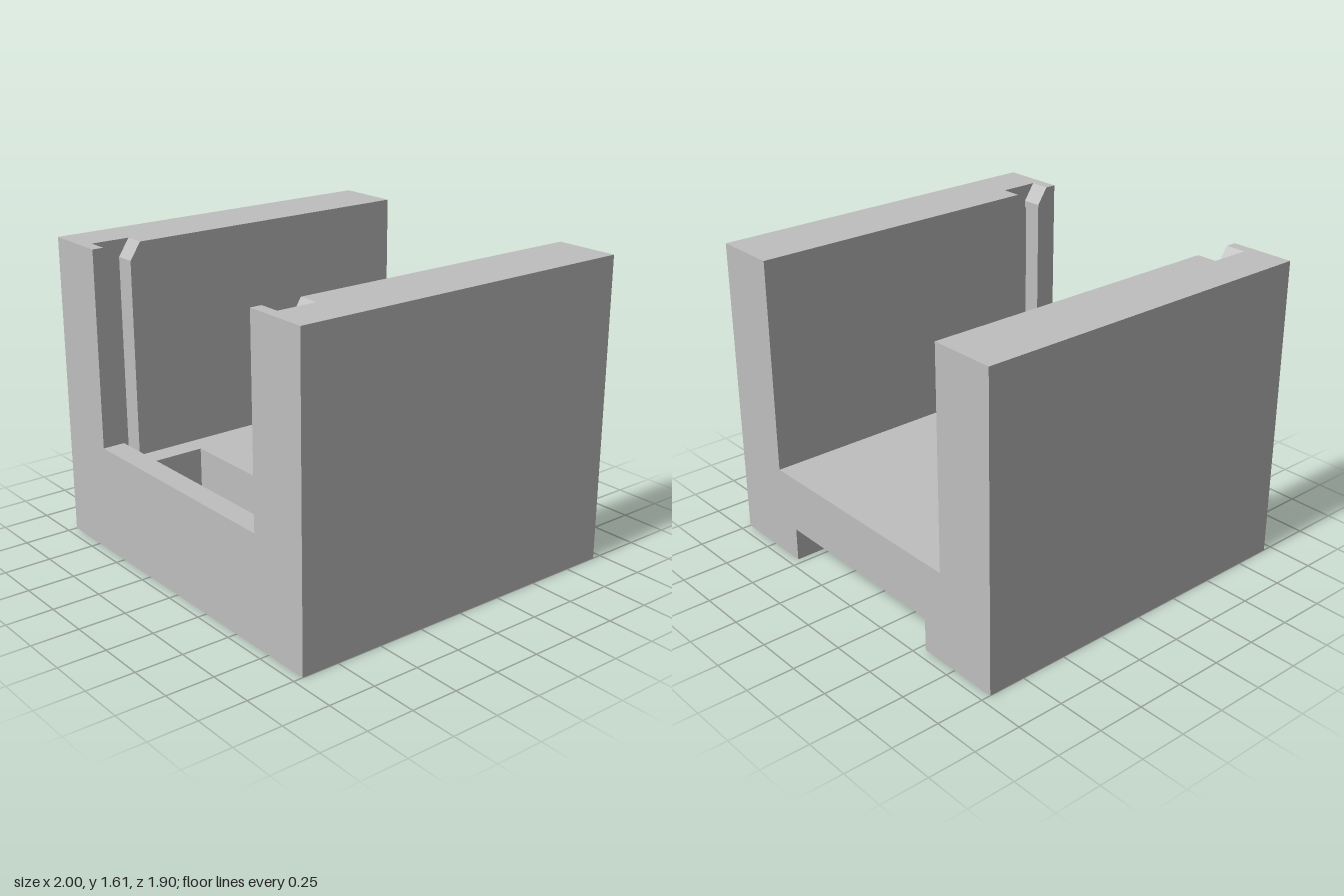
import * as THREE from 'three';
import { mergeGeometries } from 'three/addons/utils/BufferGeometryUtils.js';

// Main dimensions
const H = 1.61, D = 0.95;              // height, half depth
const FLOOR = 0.48, SILL = 0.57;       // floor and front sill heights
const IN = 0.655, SLOT = 0.765;        // inner wall face, slot bottom (x)
const Z0 = 0.74, Z1 = 0.83;            // slot range in z
const FLARE = 0.06, FLARE_H = 0.09;    // widened slot mouth
const CH = 0.535, CH_H = 0.18;         // underside channel half width and height
const WIN = 0.44;                      // rear edge of floor window

// Flat face on the plane axis = at, facing sign; points are (z,y), (x,z) or (x,y)
function panel(axis, at, sign, pts) {
  const shape = new THREE.Shape(pts.map(([u, v]) => new THREE.Vector2(u, v)));
  const g = new THREE.ShapeGeometry(shape).toNonIndexed();
  g.deleteAttribute('uv');
  const p = g.attributes.position;
  const flip = (axis === 'z' ? 1 : -1) !== sign;
  const out = [];
  for (let i = 0; i < p.count; i++) {
    const t = i % 3, j = flip && t ? i + (t === 1 ? 1 : -1) : i;
    const u = p.getX(j), v = p.getY(j);
    out.push(...(axis === 'x' ? [at, v, u] : axis === 'y' ? [u, at, v] : [u, v, at]));
  }
  p.array.set(out);
  g.computeVertexNormals();
  return g;
}

const rect = (a, b, c, d) => [[a, b], [c, b], [c, d], [a, d]];

// Sloped face at the slot mouth, from z = zLow up to z = zTop
function slope(s, zLow, zTop) {
  const a = [s * IN, H - FLARE_H, zLow], b = [s * SLOT, H - FLARE_H, zLow];
  const c = [s * SLOT, H, zTop], d = [s * IN, H, zTop];
  const up = (zLow > zTop) === (s > 0);
  const g = new THREE.BufferGeometry();
  const tris = up ? [a, b, c, a, c, d] : [a, c, b, a, d, c];
  g.setAttribute('position', new THREE.Float32BufferAttribute(tris.flat(), 3));
  g.computeVertexNormals();
  return g;
}

export function createModel() {
  const model = new THREE.Group();
  model.name = 'slottedBlock';
  const grey = new THREE.MeshStandardMaterial({ color: 0xbfbfbf });
  grey.name = 'grey';
  const add = (name, faces) => {
    const mesh = new THREE.Mesh(mergeGeometries(faces), grey);
    mesh.name = name;
    model.add(mesh);
  };
  const mouth = H - FLARE_H;

  for (const s of [1, -1]) {
    const side = s > 0 ? 'left' : 'right';
    const mx = pts => pts.map(([x, v]) => [s * x, v]);

    // Upright wall
    add(side + 'Wall', [
      panel('x', s, s, rect(-D, 0, D, H)),
      panel('x', s * IN, -s, [[-D, FLOOR], [-D, H], [Z0 - FLARE, H], [Z0, mouth], [Z0, FLOOR]]),
      panel('x', s * IN, -s, [[Z1, SILL], [Z1, mouth], [Z1 + FLARE, H], [D, H], [D, SILL]]),
      panel('y', H, 1, mx([[IN, -D], [1, -D], [1, D], [IN, D], [IN, Z1 + FLARE],
        [SLOT, Z1 + FLARE], [SLOT, Z0 - FLARE], [IN, Z0 - FLARE]])),
    ]);

    // Vertical slot with a flared mouth
    add(side + 'Slot', [
      panel('x', s * SLOT, -s, [[Z0, FLOOR], [Z0, mouth], [Z0 - FLARE, H],
        [Z1 + FLARE, H], [Z1, mouth], [Z1, FLOOR]]),
      panel('z', Z0, 1, mx(rect(IN, FLOOR, SLOT, mouth))),
      panel('z', Z1, -1, mx(rect(IN, FLOOR, SLOT, mouth))),
      slope(s, Z0, Z0 - FLARE),
      slope(s, Z1, Z1 + FLARE),
    ]);

    // Side of the underside channel and floor window
    add(side + 'ChannelSide', [
      panel('x', s * CH, -s, [[-D, 0], [Z1, 0], [Z1, FLOOR], [WIN, FLOOR], [WIN, CH_H], [-D, CH_H]]),
    ]);
  }

  // U-shaped ends
  add('frontFace', [panel('z', D, 1, [[-1, 0], [1, 0], [1, H], [IN, H], [IN, SILL],
    [-IN, SILL], [-IN, H], [-1, H]])]);
  add('backFace', [panel('z', -D, -1, [[-1, 0], [-CH, 0], [-CH, CH_H], [CH, CH_H], [CH, 0], [1, 0],
    [1, H], [IN, H], [IN, FLOOR], [-IN, FLOOR], [-IN, H], [-1, H]])]);

  // Floor around the window, with the channel ceiling below
  add('floor', [
    panel('y', FLOOR, 1, [[-IN, -D], [IN, -D], [IN, Z0], [SLOT, Z0], [SLOT, Z1], [CH, Z1], [CH, WIN],
      [-CH, WIN], [-CH, Z1], [-SLOT, Z1], [-SLOT, Z0], [-IN, Z0]]),
    panel('z', WIN, 1, rect(-CH, CH_H, CH, FLOOR)),
    panel('y', CH_H, -1, rect(-CH, -D, CH, WIN)),
  ]);

  // Raised front sill
  add('frontSill', [
    panel('y', SILL, 1, rect(-IN, Z1, IN, D)),
    panel('z', Z1, -1, [[-CH, 0], [CH, 0], [CH, FLOOR], [IN, FLOOR], [IN, SILL],
      [-IN, SILL], [-IN, FLOOR], [-CH, FLOOR]]),
  ]);

  // Underside
  add('underside', [panel('y', 0, -1, [[-1, -D], [-CH, -D], [-CH, Z1], [CH, Z1], [CH, -D],
    [1, -D], [1, D], [-1, D]])]);

  return model;
}
